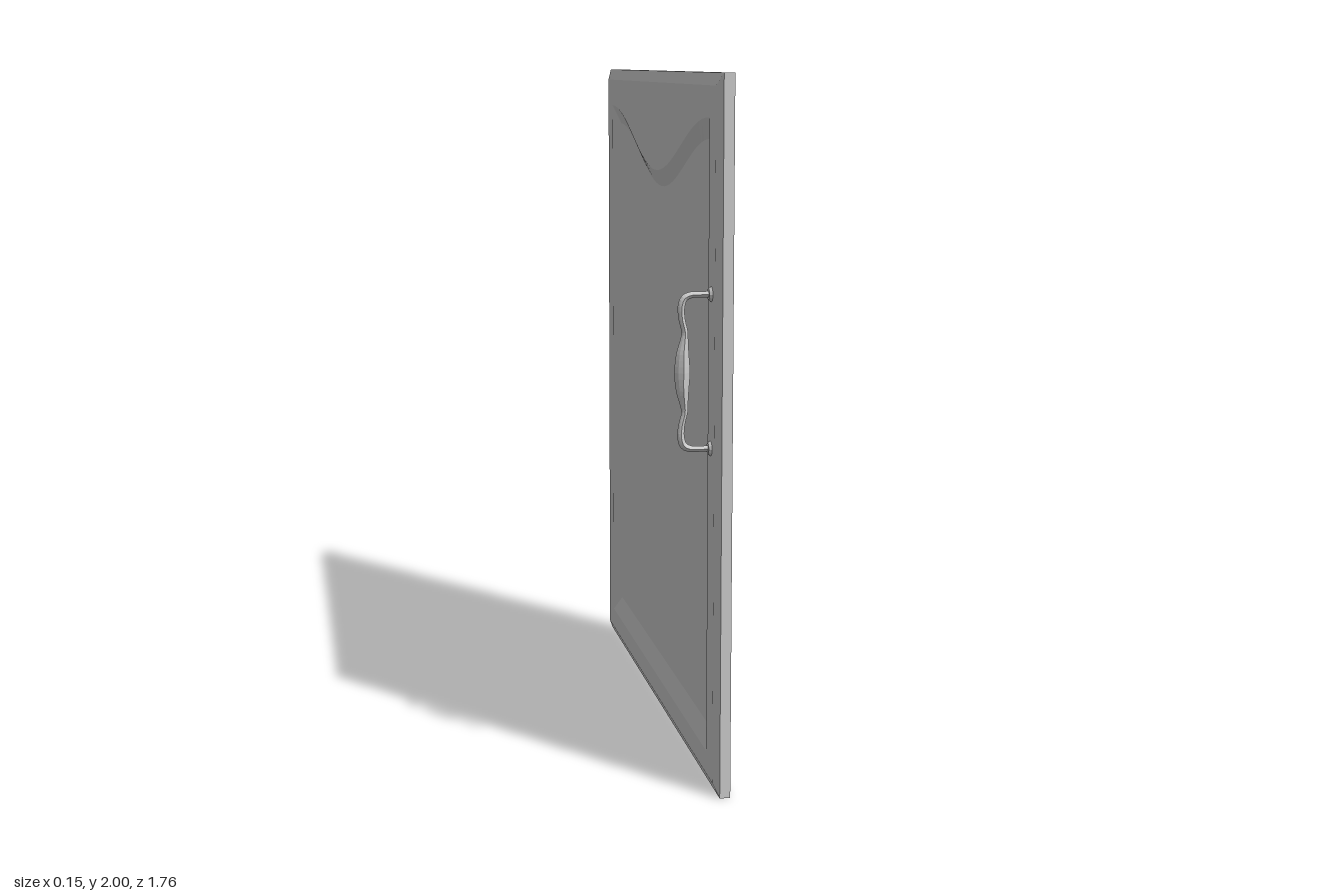
import * as THREE from 'three';

const material = new THREE.MeshStandardMaterial({ color: 0xcccccc, flatShading: true });

// Triangle soup from lists of corners, flat shaded
function soup(triangles) {
  const geometry = new THREE.BufferGeometry().setFromPoints(triangles);
  geometry.computeVertexNormals();
  return geometry;
}

// Skin consecutive closed rings, all with the same number of points
function skin(rings) {
  const tris = [];
  for (let k = 0; k < rings.length - 1; k++) {
    const a = rings[k], b = rings[k + 1], n = a.length;
    for (let i = 0; i < n; i++) {
      const j = (i + 1) % n;
      tris.push(a[i], a[j], b[j], a[i], b[j], b[i]);
    }
  }
  return tris;
}

// Door outline at depth x: straight bottom and sides, top sagging by a cosine dip
function doorRing(x, halfWidth, bottom, top, dip = 0) {
  const ring = [new THREE.Vector3(x, bottom, -halfWidth), new THREE.Vector3(x, bottom, halfWidth)];
  const steps = 32;
  for (let i = 0; i <= steps; i++) {
    const t = 1 - (2 * i) / steps;
    const y = top - dip * 0.5 * (1 + Math.cos(Math.PI * t));
    ring.push(new THREE.Vector3(x, y, halfWidth * t));
  }
  return ring;
}

function doorGeometry() {
  const rings = [
    doorRing(0.071, 0.88, 0, 2),
    doorRing(0.041, 0.88, 0, 2),
    doorRing(0.027, 0.846, 0.034, 1.966), // chamfered rim
    doorRing(0.027, 0.765, 0.1, 1.88, 0.18), // edge of the recess
    doorRing(0.047, 0.705, 0.157, 1.82, 0.17), // recessed panel
  ];
  const tris = skin(rings);
  const cap = (ring, x, flip) => {
    const centre = new THREE.Vector3(x, 0.9, 0);
    ring.forEach((p, i) => {
      const q = ring[(i + 1) % ring.length];
      tris.push(...(flip ? [q, p, centre] : [p, q, centre]));
    });
  };
  cap(rings[0], 0.071, true);
  cap(rings[4], 0.047, false);
  return soup(tris);
}

// Bent bar with a swelling, diamond-section grip; each entry is x, height from middle, radius
function handleGeometry() {
  const half = [
    [0.03, 0.213, 0.009], [0, 0.213, 0.008], [-0.03, 0.212, 0.009],
    [-0.048, 0.203, 0.01], [-0.056, 0.18, 0.01], [-0.054, 0.145, 0.009],
    [-0.046, 0.11, 0.009], [-0.048, 0.085, 0.012], [-0.052, 0.05, 0.018],
  ];
  const stations = [...half, [-0.053, 0, 0.022], ...half.map(([x, y, r]) => [x, -y, r]).reverse()];
  const path = new THREE.CatmullRomCurve3(stations.map(([x, y]) => new THREE.Vector3(x, y, 0)));
  const radii = new THREE.CatmullRomCurve3(stations.map(([, , r], i) => new THREE.Vector3(i, r, 0)));
  const rings = [], steps = 54, sides = 8;
  for (let i = 0; i <= steps; i++) {
    const p = path.getPoint(i / steps), t = path.getTangent(i / steps);
    const r = radii.getPoint(i / steps).y;
    const ring = [];
    for (let j = 0; j < sides; j++) {
      const angle = (j / sides) * Math.PI * 2;
      const s = j % 2 ? r * 0.8 : r;
      const c = s * Math.cos(angle);
      ring.push(new THREE.Vector3(p.x - t.y * c, p.y + t.x * c, s * Math.sin(angle)));
    }
    rings.push(ring);
  }
  return soup(skin(rings));
}

export function createModel() {
  const model = new THREE.Group();
  model.name = 'cabinetDoor';

  const add = (parent, name, geometry) => {
    const mesh = new THREE.Mesh(geometry, material);
    mesh.name = name;
    parent.add(mesh);
    return mesh;
  };

  add(model, 'doorPanel', doorGeometry());

  const handle = new THREE.Group();
  handle.name = 'handle';
  handle.position.set(0, 1.193, 0.8);
  add(handle, 'grip', handleGeometry());

  // Round mounting plates at both ends
  for (const side of [1, -1]) {
    const plate = add(handle, side > 0 ? 'upperPlate' : 'lowerPlate',
      new THREE.CylinderGeometry(0.022, 0.016, 0.009, 12));
    plate.rotation.z = -Math.PI / 2;
    plate.position.set(0.0235, side * 0.213, 0);
  }
  model.add(handle);
  return model;
}
